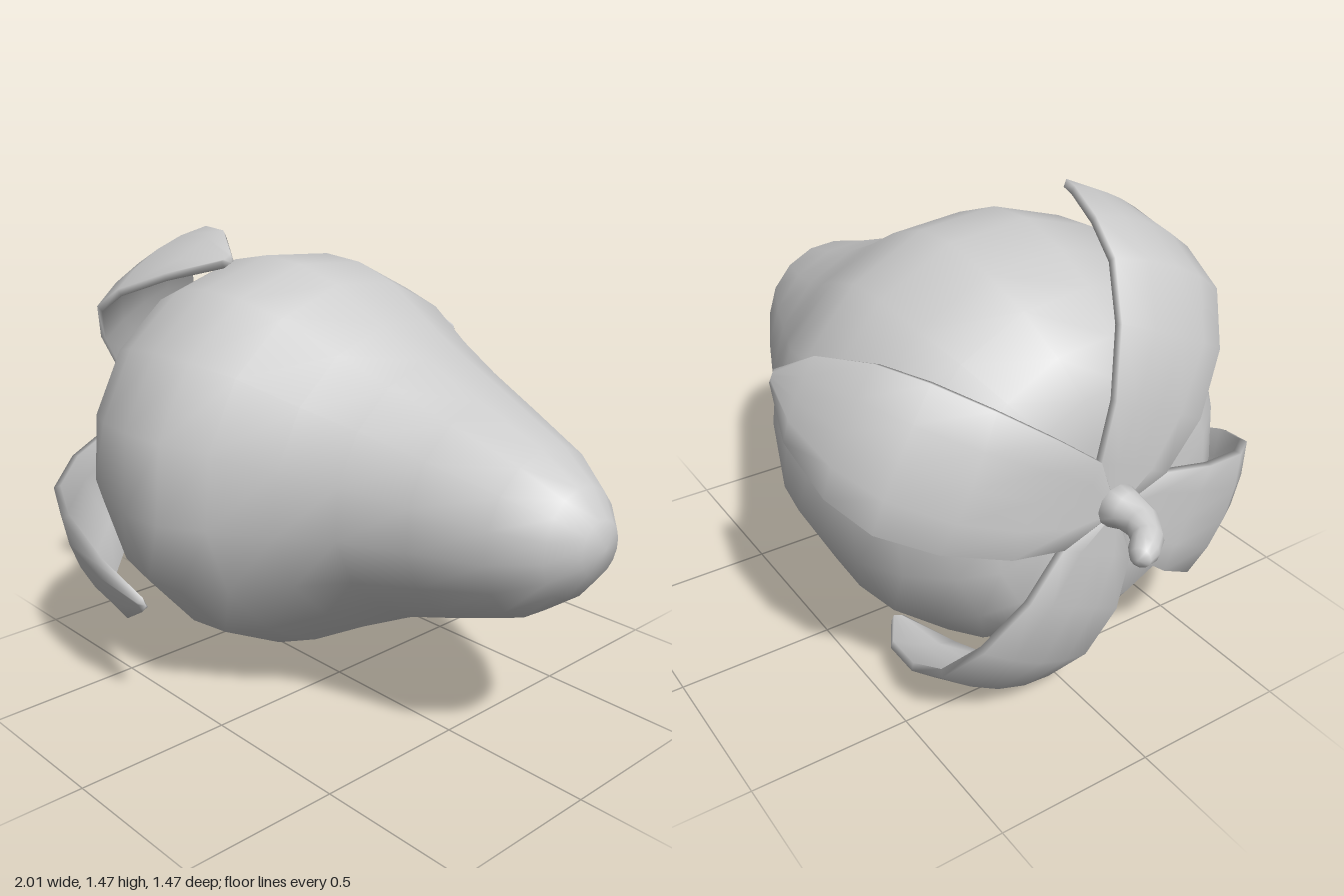
import * as THREE from 'three';

// Skin a list of rings (arrays of Vector3), closing both ends on their centres.
function loft(rings, start, end) {
  const n = rings[0].length, pts = [...rings.flat(), start, end], index = [];
  const last = (rings.length - 1) * n, s = rings.length * n;
  for (let j = 0; j < n; j++) {
    const k = (j + 1) % n;
    for (let i = 0; i < last; i += n) {
      index.push(i + j, i + k, i + n + j, i + k, i + n + k, i + n + j);
    }
    index.push(s, k, j, s + 1, last + j, last + k);
  }
  const g = new THREE.BufferGeometry().setFromPoints(pts);
  g.setIndex(index);
  g.computeVertexNormals();
  return g;
}

const V = (x, y, z) => new THREE.Vector3(x, y, z);

// Fruit: 16-sided sections along x as [x, centre y, centre z, radius y, radius z]
function bodyGeometry() {
  const sections = [
    [-0.77, 0.75, 0, 0.22, 0.22], [-0.755, 0.75, 0, 0.36, 0.36], [-0.68, 0.75, 0, 0.46, 0.46],
    [-0.56, 0.75, 0, 0.555, 0.555], [-0.42, 0.75, 0, 0.615, 0.62], [-0.25, 0.755, 0.005, 0.645, 0.65],
    [-0.1, 0.755, 0, 0.635, 0.64], [0.03, 0.75, -0.03, 0.59, 0.59], [0.2, 0.74, -0.045, 0.5, 0.49],
    [0.36, 0.74, -0.055, 0.42, 0.41], [0.57, 0.745, -0.045, 0.335, 0.33], [0.8, 0.755, -0.02, 0.245, 0.245],
    [0.92, 0.76, -0.02, 0.16, 0.155], [0.98, 0.76, -0.03, 0.08, 0.08],
  ];
  const rings = sections.map(([x, cy, cz, ry, rz]) => Array.from({ length: 16 }, (_, j) => {
    const a = 0.11 + j / 16 * Math.PI * 2;
    // shallow hollow on the lower front flank
    const dent = 1 - 0.1 * Math.exp(-(((x - 0.35) / 0.25) ** 2) - ((a - 2.5) / 0.6) ** 2);
    return V(x, cy + ry * dent * Math.cos(a), cz + rz * dent * Math.sin(a));
  }));
  return loft(rings, V(-0.775, 0.75, 0), V(1, 0.765, -0.03));
}

// Leaf: a thin arched blade following a bent midline of [x, radius, half width]
function leafGeometry() {
  const mid = [
    [-0.8, 0.005, 0.005], [-0.8, 0.13, 0.13], [-0.8, 0.3, 0.17], [-0.77, 0.5, 0.2], [-0.66, 0.66, 0.21],
    [-0.5, 0.735, 0.19], [-0.3, 0.765, 0.125], [-0.14, 0.755, 0.02],
  ];
  const thick = 0.024, across = [-1, -0.5, 0, 0.5, 1];
  const rings = mid.map(([x, r, w], i) => {
    const a = mid[Math.max(i - 1, 0)], b = mid[Math.min(i + 1, mid.length - 1)];
    const len = Math.hypot(b[0] - a[0], b[1] - a[1]);
    const nx = -(b[1] - a[1]) / len, nr = (b[0] - a[0]) / len;
    const arch = r > 0.4 ? 0.8 : 0;
    const point = (t, depth) => {
      const d = depth + arch * (t * w) ** 2;
      return V(x - nx * d, r - nr * d, t * w);
    };
    return [...across.map(t => point(-t, thick)), ...across.map(t => point(t, 0))];
  });
  return loft(rings, V(-0.79, 0, 0), V(-0.125, 0.74, 0));
}

// Stem: curved, tapering stalk listed from tip to base as [x, y, z, radius]
function stemGeometry() {
  const path = [
    [-0.98, 0.728, -0.07, 0.03], [-0.965, 0.732, -0.045, 0.042], [-0.94, 0.74, -0.012, 0.044],
    [-0.89, 0.75, 0.015, 0.049], [-0.83, 0.76, 0.012, 0.056], [-0.77, 0.765, 0, 0.075],
  ];
  const rings = path.map(([x, y, z, r], i) => {
    const a = path[Math.max(i - 1, 0)], b = path[Math.min(i + 1, path.length - 1)];
    const tangent = V(b[0] - a[0], 0, b[2] - a[2]).normalize();
    const up = V(0, 1, 0), side = tangent.clone().cross(up);
    return Array.from({ length: 12 }, (_, j) => {
      const t = j / 12 * Math.PI * 2;
      return V(x, y, z).addScaledVector(up, r * Math.cos(t)).addScaledVector(side, r * Math.sin(t));
    });
  });
  return loft(rings, V(-0.985, 0.727, -0.082), V(-0.77, 0.765, 0));
}

export function createModel() {
  const model = new THREE.Group();
  model.name = 'strawberry';
  const material = new THREE.MeshStandardMaterial({ color: 0xcccccc });
  const add = (parent, name, geometry) => {
    const mesh = new THREE.Mesh(geometry, material);
    mesh.name = name;
    parent.add(mesh);
    return mesh;
  };

  add(model, 'fruit', bodyGeometry());
  add(model, 'stem', stemGeometry());

  // Four leaves crossing at the stem
  const calyx = new THREE.Group();
  calyx.name = 'leaves';
  calyx.position.y = 0.745;
  const leaf = leafGeometry();
  for (let i = 0; i < 4; i++) {
    add(calyx, `leaf${i + 1}`, leaf).rotation.x = THREE.MathUtils.degToRad(25 + 90 * i);
  }
  model.add(calyx);
  return model;
}
